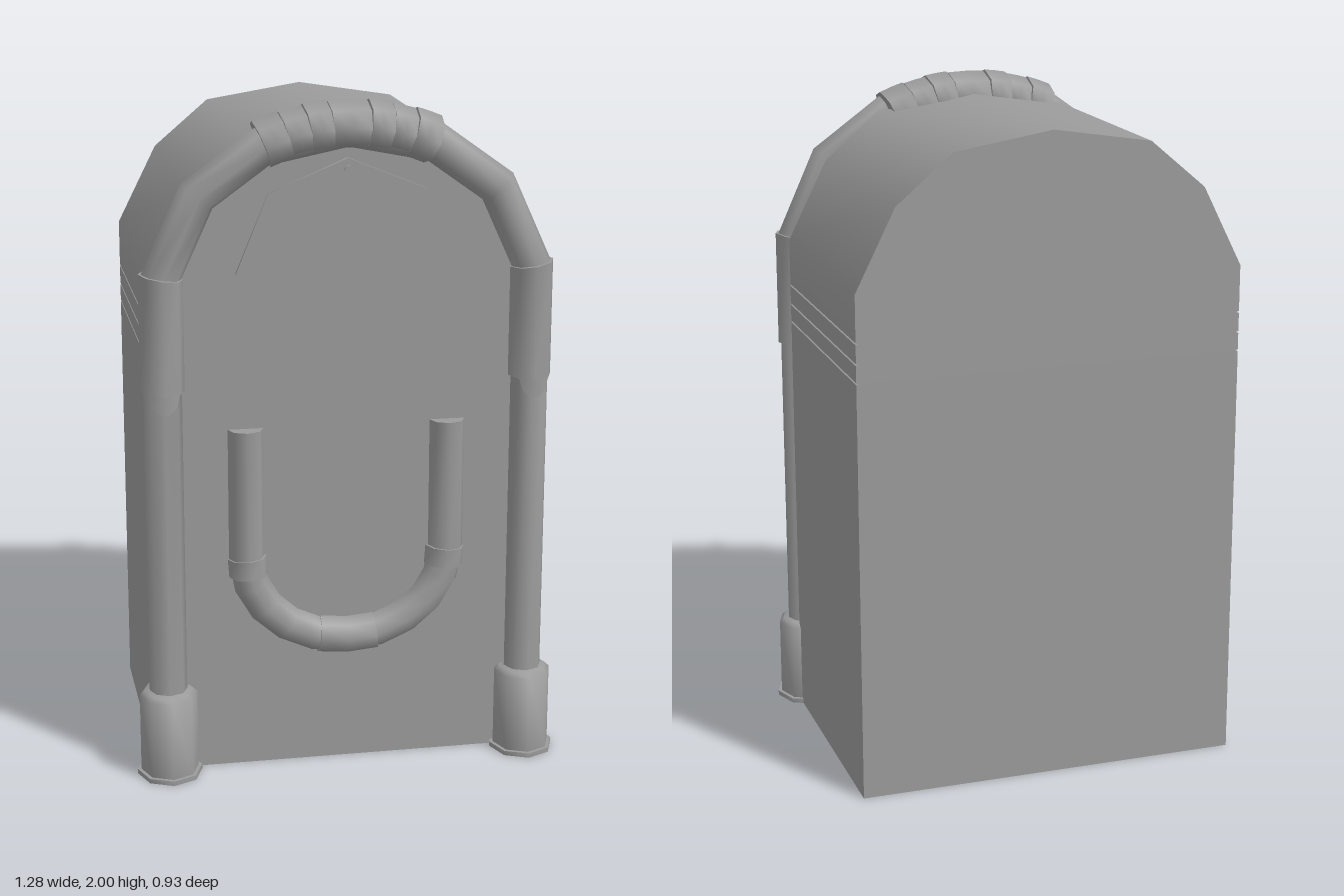
import * as THREE from 'three';
import { toCreasedNormals } from 'three/addons/utils/BufferGeometryUtils.js';

const SIDES = 8;
const BACK = -0.465, BODY_FRONT = 0.291, PLATE_FRONT = 0.335, TUBE_Z = 0.355; // depths along z
const grey = new THREE.MeshStandardMaterial({ color: 0x9b9b9b });
const greyThin = new THREE.MeshStandardMaterial({ color: 0x9b9b9b, side: THREE.DoubleSide });

function add(parent, name, geometry, x = 0, y = 0, z = 0, material = grey) {
  const mesh = new THREE.Mesh(toCreasedNormals(geometry, 1.2), material);
  mesh.name = name;
  mesh.position.set(x, y, z);
  parent.add(mesh);
}

// Mitred, capped tube along points in the xy plane; rIn is the in-plane radius, rZ the depth radius
function sweep(points, rIn, rZ = rIn) {
  const pos = [], index = [], n = points.length;
  const P = points.map(([x, y]) => new THREE.Vector2(x, y));
  for (let i = 0; i < n; i++) {
    const a = P[Math.min(i + 1, n - 1)].clone().sub(P[Math.min(i, n - 2)]).normalize();
    const b = P[Math.max(i, 1)].clone().sub(P[Math.max(i - 1, 0)]).normalize();
    const t = a.clone().add(b).normalize();
    const mitre = rIn / t.dot(a);
    for (let j = 0; j < SIDES; j++) {
      const ang = j / SIDES * Math.PI * 2, c = Math.cos(ang) * mitre;
      pos.push(P[i].x - t.y * c, P[i].y + t.x * c, Math.sin(ang) * rZ);
    }
  }
  for (let i = 0; i < n - 1; i++) for (let j = 0; j < SIDES; j++) {
    const k = (j + 1) % SIDES, u = i * SIDES, v = u + SIDES;
    index.push(u + j, u + k, v + k, u + j, v + k, v + j);
  }
  const last = (n - 1) * SIDES;
  for (let j = 1; j < SIDES - 1; j++) index.push(0, j + 1, j, last, last + j, last + j + 1);
  const g = new THREE.BufferGeometry();
  g.setAttribute('position', new THREE.Float32BufferAttribute(pos, 3));
  g.setIndex(index);
  return g;
}

// Full left-right symmetric path from its +x half (which ends on x = 0)
const mirrored = half => [...half, ...half.slice(0, -1).reverse().map(([x, y]) => [-x, y])];

function arc(cx, cy, rx, ry, from, to, steps) {
  return Array.from({ length: steps + 1 }, (_, i) => {
    const a = from + (to - from) * i / steps;
    return [cx + rx * Math.cos(a), cy + ry * Math.sin(a)];
  });
}

const extrude = (outline, depth) => new THREE.ExtrudeGeometry(
  new THREE.Shape(outline.map(([x, y]) => new THREE.Vector2(x, y))), { depth, bevelEnabled: false });

export function createModel() {
  const model = new THREE.Group();
  model.name = 'archedCabinet';

  // Cabinet with a faceted arch and three hairline grooves along each side
  const side = [[0.578, 0]];
  for (const y of [1.26, 1.315, 1.375]) side.push([0.578, y - 0.003], [0.569, y], [0.578, y + 0.003]);
  const outline = mirrored([...side, [0.578, 1.515], [0.459, 1.752], [0.293, 1.893], [0, 1.94]]);
  add(model, 'cabinet', extrude(outline, BODY_FRONT - BACK), 0, 0, BACK);

  // Front frame: posts and arch in one tube, with the front plate set inside it
  const frame = mirrored([[0.541, 0], [0.541, 1.51], [0.435, 1.742], [0.25, 1.875], [0, 1.925]]);
  add(model, 'frameTube', sweep(frame, 0.056, 0.057), 0, 0, TUBE_Z);
  add(model, 'frontPlate', extrude(frame, PLATE_FRONT - BODY_FRONT), 0, 0, BODY_FRONT);

  // Bands on the crown of the arch, alternately wide and narrow
  const crown = new THREE.Group();
  crown.name = 'crownBands';
  model.add(crown);
  const edges = [-0.41, -0.294, -0.19, -0.087, 0.087, 0.19, 0.294, 0.41];
  for (let i = 0; i < 7; i++) {
    const wide = i % 2 === 0;
    const band = arc(0, 1.31, 0.62, 0.62, Math.PI / 2 - edges[i], Math.PI / 2 - edges[i + 1], 2);
    add(crown, 'crownBand', sweep(band, wide ? 0.072 : 0.068, wide ? 0.105 : 0.1), 0, 0, 0.33);
  }

  for (const s of [1, -1]) {
    const post = new THREE.Group();
    post.name = s > 0 ? 'leftPostFittings' : 'rightPostFittings';
    post.position.set(s * 0.541, 0, TUBE_Z);
    model.add(post);

    // Sleeve with a slanted top and a rounded tongue at the front
    const sleeve = new THREE.CylinderGeometry(0.064, 0.064, 0.335, SIDES, 1);
    const sp = sleeve.attributes.position;
    for (let i = 0; i < sp.count; i++)
      if (sp.getY(i) > 0) sp.setY(i, sp.getY(i) + s * sp.getX(i) * 0.16);
    sleeve.scale(1, 1, 1.1);
    add(post, 'sleeve', sleeve, 0, 1.3475, 0);

    const tongue = new THREE.CylinderGeometry(0.067, 0.067, 0.06, 8, 1, true, -0.7, 1.4);
    const tp = tongue.attributes.position;
    for (let i = 0; i < tp.count; i++) if (tp.getY(i) < 0) {
      const u = Math.min(1, Math.abs(tp.getX(i)) / 0.0432);
      tp.setY(i, 0.025 - 0.055 * Math.sqrt(1 - u * u));
    }
    add(post, 'sleeveTongue', tongue, 0, 1.155, 0, greyThin);

    // Chamfered foot on a thin flange
    const foot = new THREE.LatheGeometry(
      [[0, 0], [0.097, 0], [0.097, 0.014], [0.086, 0.014], [0.086, 0.251], [0.072, 0.265], [0, 0.265]]
        .map(([x, y]) => new THREE.Vector2(x, y)), SIDES);
    foot.scale(1, 1, 1.12);
    add(post, 'foot', foot);
  }

  // U-shaped tube half sunk in the front plate, with collars
  const bend = arc(0, 0.65, 0.3, 0.26, 0, -Math.PI, 10);
  const uTubeZ = 0.333;
  add(model, 'frontUTube', sweep([[0.3, 1.05], ...bend, [-0.3, 1.05]], 0.053), 0, 0, uTubeZ);
  add(model, 'lowerCollar', sweep([[0.085, 0.4], [0, 0.392], [-0.085, 0.4]], 0.058), 0, 0, uTubeZ);
  for (const s of [1, -1])
    add(model, 'sideCollar', sweep([[s * 0.298, 0.657], [s * 0.294, 0.6]], 0.059), 0, 0, uTubeZ);

  // Thin raised panel under the arch with a small round pin
  const panel = mirrored([[0.325, 1.51], [0.23, 1.74], [0, 1.835]]);
  add(model, 'upperPanel', extrude(panel, 0.012), 0, 0, PLATE_FRONT);
  const pin = new THREE.CylinderGeometry(0.011, 0.011, 0.02, 12).rotateX(Math.PI / 2);
  add(model, 'panelPin', pin, 0, 1.803, PLATE_FRONT + 0.01);

  return model;
}
